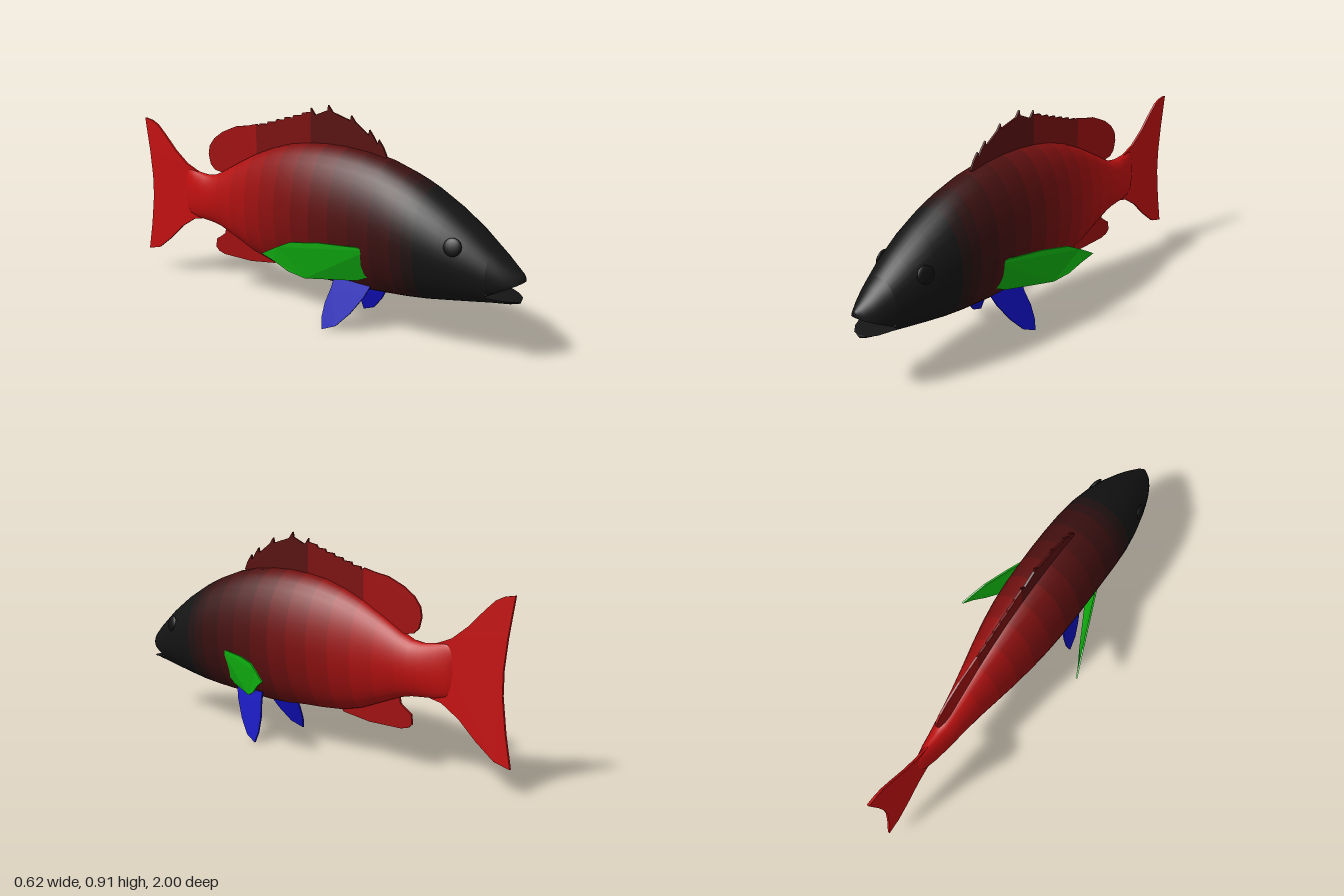
import * as THREE from 'three';

const SEG = 36;

// Cross-sections [z, top, bottom, halfWidth], from head to tail
const BODY = [
  [0.88, 0.455, 0.232, 0.095], [0.8, 0.52, 0.22, 0.121], [0.7, 0.588, 0.205, 0.145], [0.6, 0.645, 0.19, 0.159],
  [0.55, 0.669, 0.185, 0.162], [0.5, 0.69, 0.18, 0.164], [0.4, 0.725, 0.174, 0.164], [0.3, 0.745, 0.169, 0.163],
  [0.2, 0.755, 0.166, 0.161], [0.1, 0.757, 0.168, 0.157], [0, 0.75, 0.178, 0.149], [-0.1, 0.735, 0.183, 0.135],
  [-0.2, 0.706, 0.192, 0.116], [-0.3, 0.666, 0.217, 0.095], [-0.4, 0.615, 0.258, 0.076], [-0.5, 0.56, 0.298, 0.061],
  [-0.55, 0.538, 0.31, 0.054], [-0.6, 0.532, 0.315, 0.046], [-0.66, 0.539, 0.32, 0.035], [-0.71, 0.545, 0.333, 0.02],
  [-0.735, 0.52, 0.37, 0.005], [-0.738, 0.5, 0.4, 0],
];
const UPPER_JAW = [
  [0.985, 0.372, 0.247, 0.04], [0.95, 0.398, 0.24, 0.064], [0.915, 0.428, 0.236, 0.081], BODY[0],
];
const LOWER_JAW = [
  [0.98, 0.3, 0.247, 0.035], [0.95, 0.395, 0.24, 0.064], [0.915, 0.428, 0.236, 0.081], BODY[0],
];

// Colour along the body: black head, dark shoulders, red tail
const STOPS = [[0.62, 0x141414], [0.5, 0x321010], [0.2, 0x541010], [-0.1, 0x861010], [-0.4, 0xb01010], [-0.7, 0xc41010]];
function bodyColor(z) {
  for (let i = 1; i < STOPS.length; i++) {
    const [z0, c0] = STOPS[i - 1], [z1, c1] = STOPS[i];
    if (z >= z1) {
      const t = THREE.MathUtils.clamp((z0 - z) / (z0 - z1), 0, 1);
      return new THREE.Color(c0).lerp(new THREE.Color(c1), t);
    }
  }
  return new THREE.Color(STOPS[STOPS.length - 1][1]);
}

function addMesh(parent, name, geometry, color) {
  const mesh = new THREE.Mesh(geometry, new THREE.MeshStandardMaterial({ color }));
  mesh.name = name;
  parent.add(mesh);
  return mesh;
}

// Elliptical loft; bend(y, z) can flatten a section for the mouth
function loft(rows, bend = (y) => y) {
  const pos = [], index = [];
  rows.forEach(([z, top, bottom, w], i) => {
    for (let j = 0; j < SEG; j++) {
      const a = (j / SEG) * Math.PI * 2;
      pos.push(w * Math.cos(a), bend((top + bottom) / 2 + ((top - bottom) / 2) * Math.sin(a), z), z);
      if (i + 1 === rows.length) continue;
      const p = i * SEG + j, q = i * SEG + ((j + 1) % SEG);
      index.push(p, p + SEG, q, q, p + SEG, q + SEG);
    }
  });
  const g = new THREE.BufferGeometry();
  g.setAttribute('position', new THREE.Float32BufferAttribute(pos, 3));
  g.setIndex(index);
  g.computeVertexNormals();
  return g;
}

// Thin fin from a [z, y] outline, moved sideways by the rule offset(y, z)
function fin(outline, thickness, offset = () => 0) {
  const shape = new THREE.Shape(outline.map(([z, y]) => new THREE.Vector2(z, y)));
  const g = new THREE.ExtrudeGeometry(shape, { depth: thickness, bevelEnabled: false });
  g.translate(0, 0, -thickness / 2);
  g.rotateY(-Math.PI / 2);
  const p = g.attributes.position;
  for (let i = 0; i < p.count; i++) p.setX(i, p.getX(i) + offset(p.getY(i), p.getZ(i)));
  g.computeVertexNormals();
  return g;
}

export function createModel() {
  const model = new THREE.Group();
  model.name = 'fish';

  // Head and trunk share one smooth skin, divided into colour bands
  const skin = loft(BODY);
  const all = Array.from(skin.index.array);
  const band = (from, to) => {
    const g = skin.clone();
    g.setIndex(all.slice(from * SEG * 6, to * SEG * 6));
    return g;
  };
  addMesh(model, 'head', band(0, 3), 0x141414);
  const trunk = new THREE.Group();
  trunk.name = 'trunk';
  model.add(trunk);
  for (let i = 3; i < BODY.length - 1; i++) {
    addMesh(trunk, 'trunkBand', band(i, i + 1), bodyColor((BODY[i][0] + BODY[i + 1][0]) / 2));
  }

  // Open mouth
  const roof = (z) => 0.275 + (z - 0.88) * 0.5;
  const floor = (z) => 0.275 - (z - 0.88) * 0.14;
  addMesh(model, 'upperJaw',
    loft([[1, 0.352, 0.335, 0], [0.998, 0.36, 0.29, 0.018], ...UPPER_JAW], (y, z) => Math.max(y, roof(z))), 0x141414);
  addMesh(model, 'lowerJaw',
    loft([[0.988, 0.258, 0.25, 0], ...LOWER_JAW], (y, z) => Math.min(y, floor(z))), 0x141414);

  // Dorsal fin: spiny front with notched edge, then the soft rounded rear
  const spines = [[0.34, 0.8], [0.295, 0.835], [0.205, 0.885], [0.09, 0.917], [0, 0.897]];
  const front = [[0.38, 0.735]];
  spines.forEach(([z, y], i) => {
    front.push([z + 0.022, y - 0.028], [z, y]);
    if (i < spines.length - 1) front.push([z - 0.004, y - 0.022]);
  });
  front.push([0, 0.7], [0.2, 0.71], [0.36, 0.7]);
  addMesh(model, 'dorsalFinFront', fin(front, 0.009), 0x581010);
  const middle = [[0, 0.7], [0, 0.88]];
  for (let i = 0; i < 6; i++) {
    const z = -0.045 - i * 0.047, y = 0.872 - i * 0.014;
    middle.push([z, y], [z - 0.006, y - 0.012]);
  }
  middle.push([-0.3, 0.798], [-0.3, 0.62], [-0.15, 0.68]);
  addMesh(model, 'dorsalFinMiddle', fin(middle, 0.009), 0x7c1010);
  addMesh(model, 'dorsalFinRear', fin([
    [-0.3, 0.62], [-0.3, 0.798], [-0.35, 0.786], [-0.42, 0.775], [-0.5, 0.742], [-0.55, 0.708], [-0.58, 0.67],
    [-0.587, 0.63], [-0.575, 0.585], [-0.55, 0.562], [-0.5, 0.554], [-0.45, 0.55],
  ], 0.009), 0xa01010);

  // Anal fin and tail fin
  addMesh(model, 'analFin', fin([
    [-0.17, 0.22], [-0.2, 0.182], [-0.34, 0.165], [-0.5, 0.168], [-0.535, 0.178], [-0.553, 0.195], [-0.548, 0.235],
    [-0.52, 0.252], [-0.495, 0.27], [-0.485, 0.32], [-0.35, 0.3],
  ], 0.009), 0xa01010);
  addMesh(model, 'tailFin', fin([
    [-0.6, 0.52], [-0.67, 0.543], [-0.73, 0.568], [-0.8, 0.622], [-0.87, 0.692], [-0.915, 0.733], [-0.95, 0.75],
    [-0.995, 0.758], [-0.97, 0.6], [-0.957, 0.48], [-0.957, 0.38], [-0.975, 0.24], [-1, 0.108], [-0.93, 0.125],
    [-0.85, 0.185], [-0.77, 0.258], [-0.69, 0.307], [-0.6, 0.325],
  ], 0.01), 0xc41010);

  // Paired fins and eyes
  const pectoral = [
    [0.39, 0.38], [0.35, 0.39], [0.2, 0.397], [0.09, 0.39], [0.04, 0.367], [-0.02, 0.335], [0.03, 0.305],
    [0.08, 0.265], [0.14, 0.238], [0.33, 0.24], [0.385, 0.262],
  ];
  const pelvic = [
    [0.365, 0.215], [0.34, 0.16], [0.29, 0.085], [0.235, 0.027], [0.175, 0.004], [0.165, 0.05], [0.168, 0.11],
    [0.185, 0.175], [0.19, 0.215],
  ];
  for (const [side, s] of [['left', 1], ['right', -1]]) {
    addMesh(model, side + 'PectoralFin', fin(pectoral, 0.008, (y, z) =>
      s * (0.15 + (0.37 - z) * 0.4 - Math.max(0, 0.36 - y) * Math.max(0, z))), 0x10b010);
    addMesh(model, side + 'PelvicFin', fin(pelvic, 0.008, (y, z) =>
      s * (0.09 + (0.2 - y) * 0.3 + (0.25 - z) * 0.1)), 0x1010bb);
    const eye = addMesh(model, side + 'Eye', new THREE.SphereGeometry(0.036, 20, 14), 0x101010);
    eye.scale.x = 0.3;
    eye.position.set(s * 0.12, 0.455, 0.755);
    eye.rotation.set(0, -s * 0.25, s * 0.25);
  }
  return model;
}
